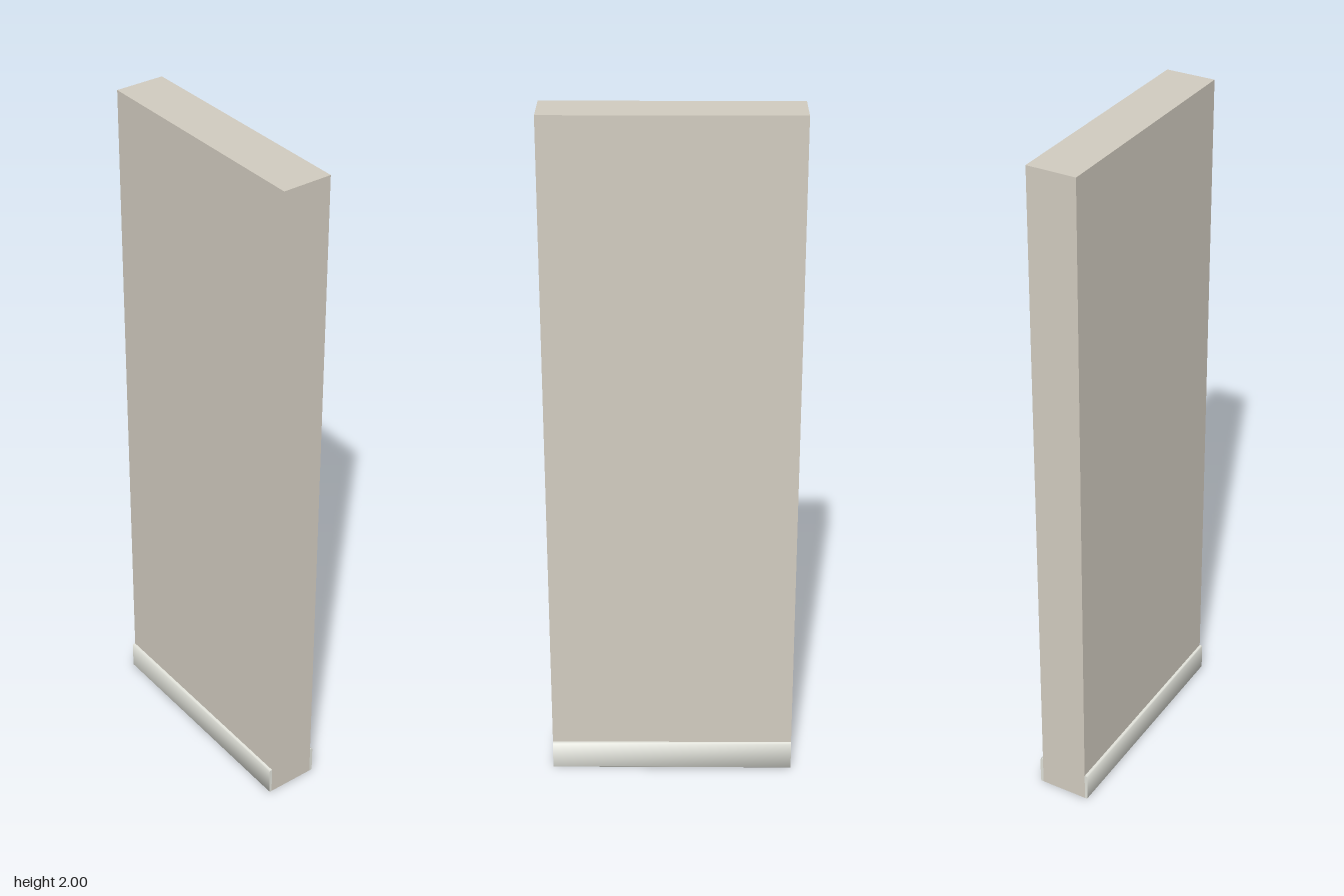
import * as THREE from 'three';
import { toCreasedNormals } from 'three/addons/utils/BufferGeometryUtils.js';

const WIDTH = 0.712, HEIGHT = 2, HALF_DEPTH = 0.072;
const BOARD_HEIGHT = 0.086, BOARD_DEPTH = 0.009, BEVEL = 0.003;

// Skirting profile (depth, height) run along the wall, softly shaded over its bevels
function boardGeometry() {
  const profile = new THREE.Shape([
    [0, 0],
    [BOARD_DEPTH - BEVEL, 0],
    [BOARD_DEPTH, BEVEL],
    [BOARD_DEPTH, BOARD_HEIGHT - BEVEL],
    [BOARD_DEPTH - BEVEL, BOARD_HEIGHT],
    [0, BOARD_HEIGHT],
  ].map(([z, y]) => new THREE.Vector2(z, y)));
  const geometry = new THREE.ExtrudeGeometry(profile, { depth: WIDTH, bevelEnabled: false });
  geometry.rotateY(-Math.PI / 2);
  geometry.translate(WIDTH / 2, 0, HALF_DEPTH);
  return toCreasedNormals(geometry, Math.PI / 3);
}

export function createModel() {
  const model = new THREE.Group();
  model.name = 'wallSection';

  // Plain wall slab
  const wall = new THREE.Mesh(
    new THREE.BoxGeometry(WIDTH, HEIGHT, HALF_DEPTH * 2),
    new THREE.MeshStandardMaterial({ color: 0xd2ccc0 }),
  );
  wall.name = 'wall';
  wall.position.y = HEIGHT / 2;
  model.add(wall);

  // Skirting boards on both faces
  const geometry = boardGeometry();
  const paint = new THREE.MeshStandardMaterial({ color: 0xe0e1d9 });
  ['frontSkirting', 'backSkirting'].forEach((name, i) => {
    const board = new THREE.Mesh(geometry, paint);
    board.name = name;
    board.rotation.y = i * Math.PI;
    model.add(board);
  });

  return model;
}
